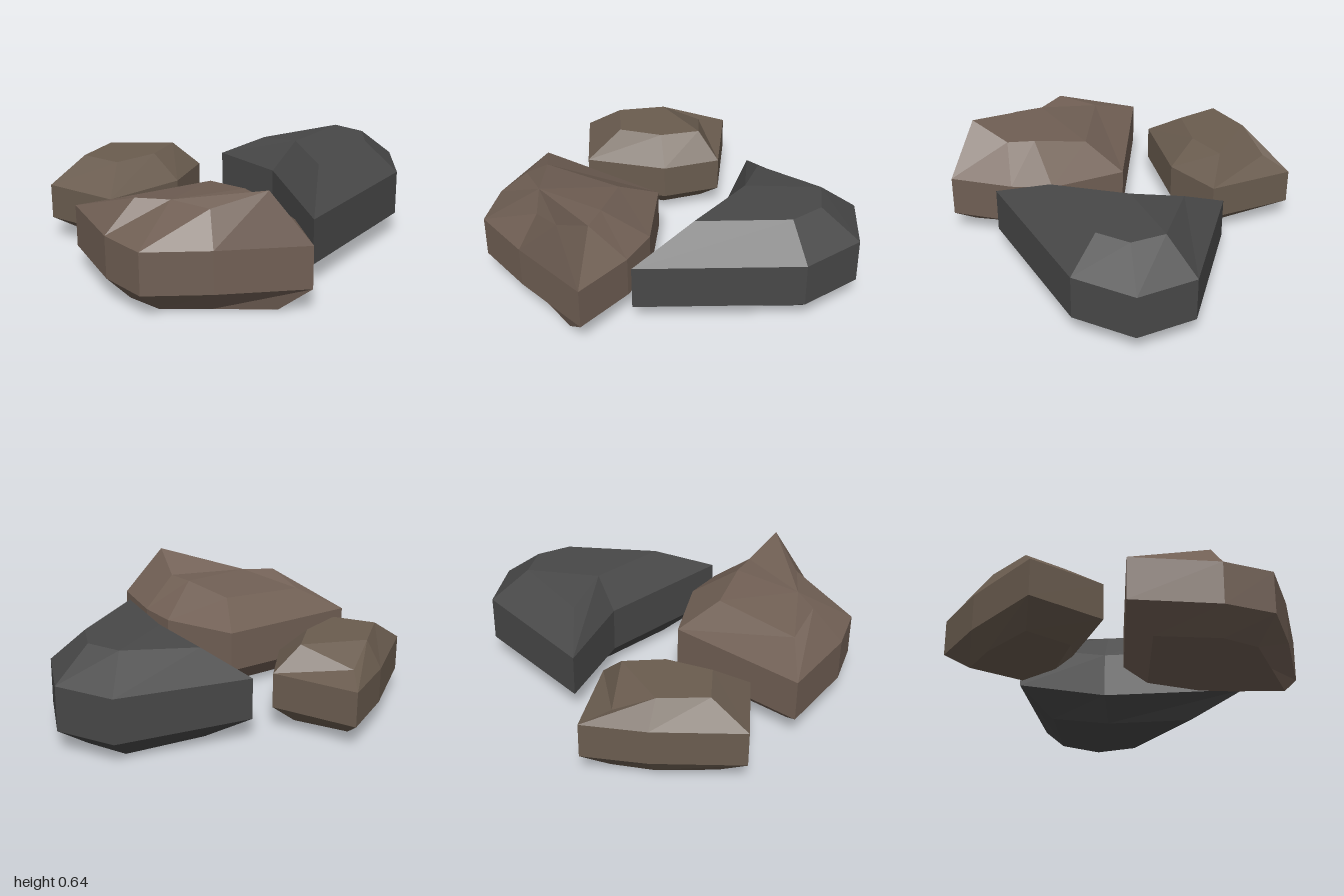
import * as THREE from 'three';

// A faceted rock made of stacked rings. Ring points are [x, z] with one height,
// or [x, z, y] where a corner has its own height.
// The end caps are fanned from corner `hub`.
function rock(name, material, hub, layers) {
  const rings = layers.map(({ y, points }) =>
    points.map(([x, z, own]) => [x, own ?? y, z]));
  const n = rings[0].length;
  const pos = [];
  const tri = (...corners) => corners.forEach((c) => pos.push(...c));

  // sides
  for (let r = 0; r < rings.length - 1; r++) {
    for (let j = 0; j < n; j++) {
      const k = (j + 1) % n;
      const low = rings[r], high = rings[r + 1];
      tri(low[k], low[j], high[j]);
      tri(low[k], high[j], high[k]);
    }
  }
  // underside and top
  const bottom = rings[0], top = rings[rings.length - 1];
  for (let i = 1; i < n - 1; i++) {
    const j = (hub + i) % n, k = (hub + i + 1) % n;
    tri(bottom[hub], bottom[j], bottom[k]);
    tri(top[hub], top[k], top[j]);
  }

  const geometry = new THREE.BufferGeometry();
  geometry.setAttribute('position', new THREE.Float32BufferAttribute(pos, 3));
  geometry.computeVertexNormals();
  const mesh = new THREE.Mesh(geometry, material);
  mesh.name = name;
  return mesh;
}

function paint(name, color) {
  const material = new THREE.MeshStandardMaterial({ color, flatShading: true });
  material.name = name;
  return material;
}

export function createModel() {
  const group = new THREE.Group();
  group.name = 'rocks';
  const warmBrown = paint('warmBrown', 0x705f54);
  const dullBrown = paint('dullBrown', 0x6a5c4f);
  const charcoal = paint('charcoal', 0x484848);

  // large peaked rock, front right
  const peakedOutline = [[-0.96, 0], [-0.17, -0.005], [0.03, 0.37], [0.045, 0.6],
    [-0.005, 0.95], [-0.48, 0.84], [-0.82, 0.73], [-0.92, 0.47]];
  group.add(rock('peakedRock', warmBrown, 6, [
    { y: 0.01, points: [[-0.82, 0.13], [-0.25, 0.12], [-0.15, 0.4], [-0.14, 0.58],
      [-0.15, 0.86], [-0.45, 0.74], [-0.7, 0.65], [-0.8, 0.47]] },
    { y: 0.135, points: peakedOutline },
    { y: 0.365, points: peakedOutline },
    { y: 0.53, points: [[-0.78, 0.22, 0.46], [-0.28, 0.22, 0.49], [-0.19, 0.5], [-0.16, 0.65],
      [-0.2, 0.85, 0.64], [-0.45, 0.71], [-0.59, 0.52], [-0.75, 0.43]] },
  ]));

  // small rock, back right
  const smallOutline = [[-1, -0.46], [-0.62, -0.77], [-0.32, -0.95],
    [-0.095, -0.525], [-0.31, -0.275], [-0.745, -0.11]];
  group.add(rock('smallRock', dullBrown, 1, [
    { y: 0.03, points: [[-0.83, -0.48], [-0.59, -0.69], [-0.39, -0.8],
      [-0.23, -0.54], [-0.38, -0.36], [-0.67, -0.27]] },
    { y: 0.135, points: smallOutline },
    { y: 0.33, points: smallOutline },
    { y: 0.47, points: [[-0.79, -0.5], [-0.59, -0.68], [-0.41, -0.8, 0.38],
      [-0.25, -0.55], [-0.41, -0.39], [-0.65, -0.31]] },
  ]));

  // dark crescent rock, left
  const darkOutline = [[0.07, -0.58], [0.82, -0.47], [0.995, -0.18],
    [0.865, 0.16], [0.12, 0.67], [0.21, -0.11]];
  group.add(rock('darkRock', charcoal, 5, [
    { y: 0, points: [[0.25, -0.4], [0.7, -0.36], [0.81, -0.15],
      [0.73, 0.07], [0.26, 0.38], [0.32, -0.09]] },
    { y: 0.13, points: darkOutline },
    { y: 0.38, points: darkOutline.map(([x, z], i) => [x, z, i ? 0.38 : 0.36]) },
    { y: 0.55, points: [[0.26, -0.37, 0.5], [0.69, -0.3], [0.78, -0.13],
      [0.71, 0.05], [0.29, 0.34], [0.34, -0.09]] },
  ]));

  return group;
}
